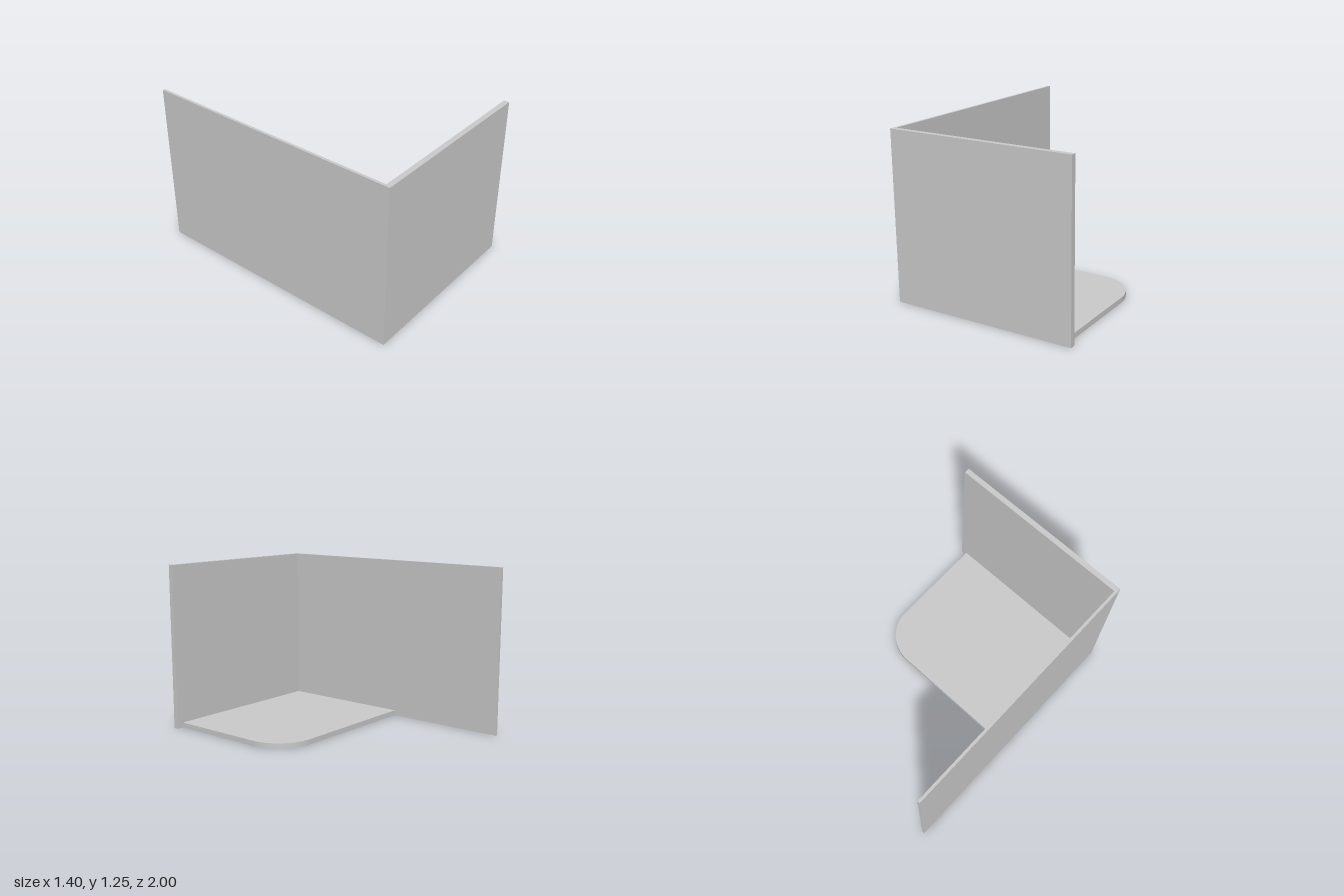
import * as THREE from 'three';

const material = new THREE.MeshStandardMaterial({ color: 0xcccccc });

// Box given by its minimum and maximum corners
function panel(name, [x0, y0, z0], [x1, y1, z1]) {
  const geometry = new THREE.BoxGeometry(x1 - x0, y1 - y0, z1 - z0);
  geometry.translate((x0 + x1) / 2, (y0 + y1) / 2, (z0 + z1) / 2);
  const mesh = new THREE.Mesh(geometry, material);
  mesh.name = name;
  return mesh;
}

export function createModel() {
  const group = new THREE.Group();
  group.name = 'cornerScreen';
  const height = 1.25;

  // Two upright panels meeting at the front right corner
  group.add(panel('frontPanel', [-0.7, 0, 0.96], [0.7, height, 1]));
  group.add(panel('sidePanel', [-0.7, 0, -1], [-0.68, height, 0.96]));

  // Base slab with one rounded corner, drawn in plan (x, z)
  const thickness = 0.04, radius = 0.29;
  const left = 0.65, right = -0.68, back = -0.08, front = 0.96;
  const plan = new THREE.Shape();
  plan.moveTo(right, front);
  plan.lineTo(right, back);
  plan.lineTo(left - radius, back);
  plan.absarc(left - radius, back + radius, radius, -Math.PI / 2, 0, false);
  plan.lineTo(left, front);
  plan.closePath();

  const slab = new THREE.ExtrudeGeometry(plan, { depth: thickness, bevelEnabled: false, curveSegments: 24 });
  slab.rotateX(Math.PI / 2).translate(0, thickness, 0);
  const base = new THREE.Mesh(slab, material);
  base.name = 'baseSlab';
  group.add(base);

  return group;
}
